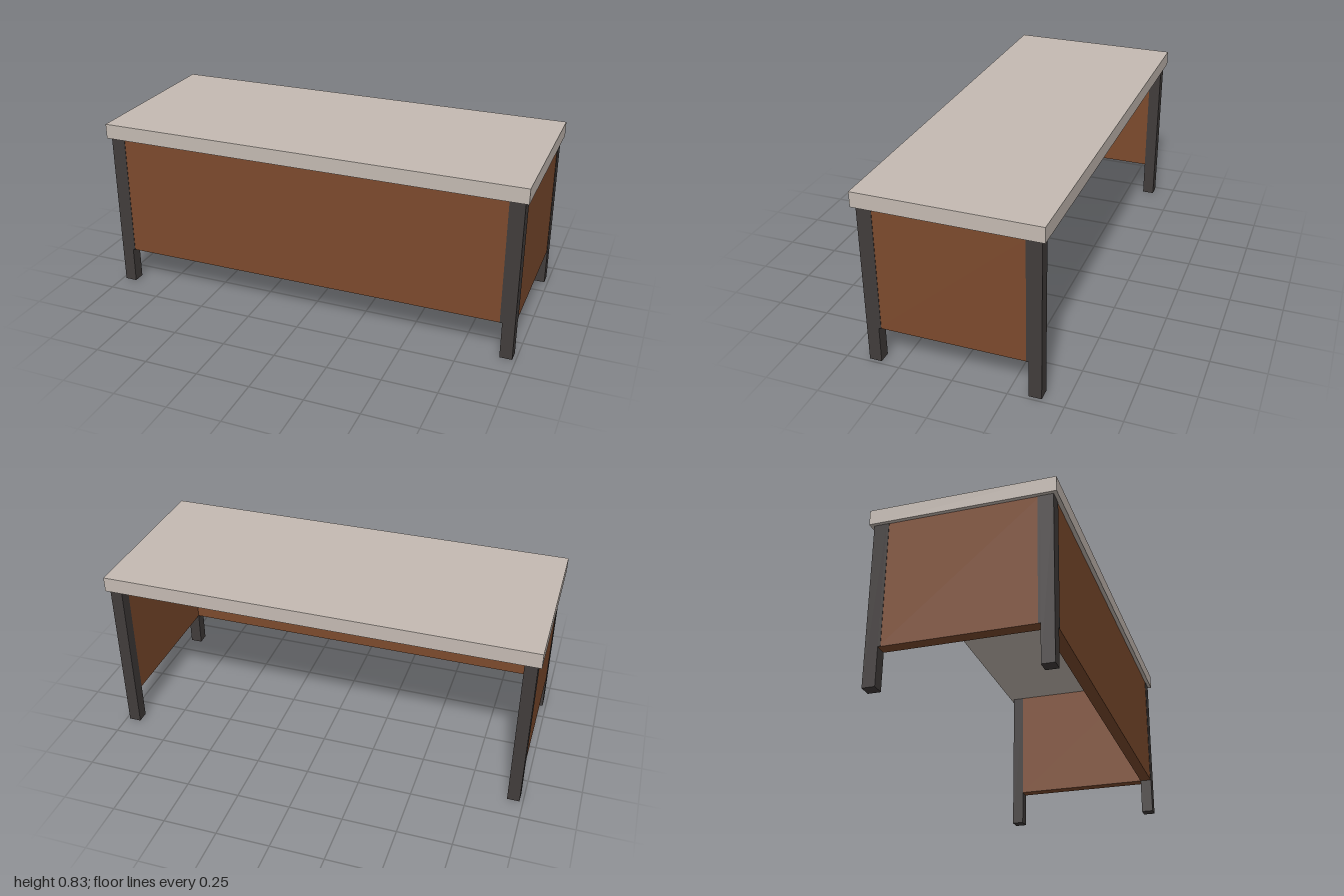
import * as THREE from 'three';

const material = (name, color) => {
  const m = new THREE.MeshStandardMaterial({ color });
  m.name = name;
  return m;
};

export function createModel() {
  const desk = new THREE.Group();
  desk.name = 'desk';
  const stone = material('pale stone', 0xc4bab2);
  const wood = material('brown wood', 0x7c4a2d);
  const metal = material('dark metal', 0x413c3b);

  // Box given by its lower and upper corners
  const box = (name, mat, [x0, y0, z0], [x1, y1, z1]) => {
    const mesh = new THREE.Mesh(new THREE.BoxGeometry(x1 - x0, y1 - y0, z1 - z0), mat);
    mesh.position.set((x0 + x1) / 2, (y0 + y1) / 2, (z0 + z1) / 2);
    mesh.name = name;
    desk.add(mesh);
  };

  const X = 0.984, Z = 0.397;      // outer faces of the legs
  const leg = 0.057, trim = 0.011; // leg width, trim beside each leg
  const low = 0.175, high = 0.76;  // panel height range
  const inset = 0.002;             // panels sit just behind the trim
  const xi = X - leg, zi = Z - leg;

  box('tabletop', stone, [-1, high, -0.414], [1, 0.83, 0.414]);

  // Front panel; the back stays open
  box('frontPanel', wood, [-xi, low, zi], [xi, high, Z - inset]);

  for (const s of [-1, 1]) {
    const side = s > 0 ? 'left' : 'right';
    // Box mirrored to this side of the desk
    const sided = (name, mat, [x0, y0, z0], [x1, y1, z1]) => box(name, mat,
      [Math.min(s * x0, s * x1), y0, z0], [Math.max(s * x0, s * x1), y1, z1]);

    sided(side + 'Panel', wood, [xi, low, -zi], [X - inset, high, zi]);

    sided(side + 'FrontLeg', metal, [xi, 0, zi], [X, high, Z]);
    sided(side + 'BackLeg', metal, [xi, 0, -Z], [X, high, -zi]);

    // Flush trim strips where the panels meet the legs
    sided(side + 'FrontTrim', metal, [xi - trim, low, Z - inset], [xi, high, Z]);
    sided(side + 'SideFrontTrim', metal, [X - inset, low, zi - trim], [X, high, zi]);
    sided(side + 'SideBackTrim', metal, [X - inset, low, -zi], [X, high, -zi + trim]);
  }
  return desk;
}
